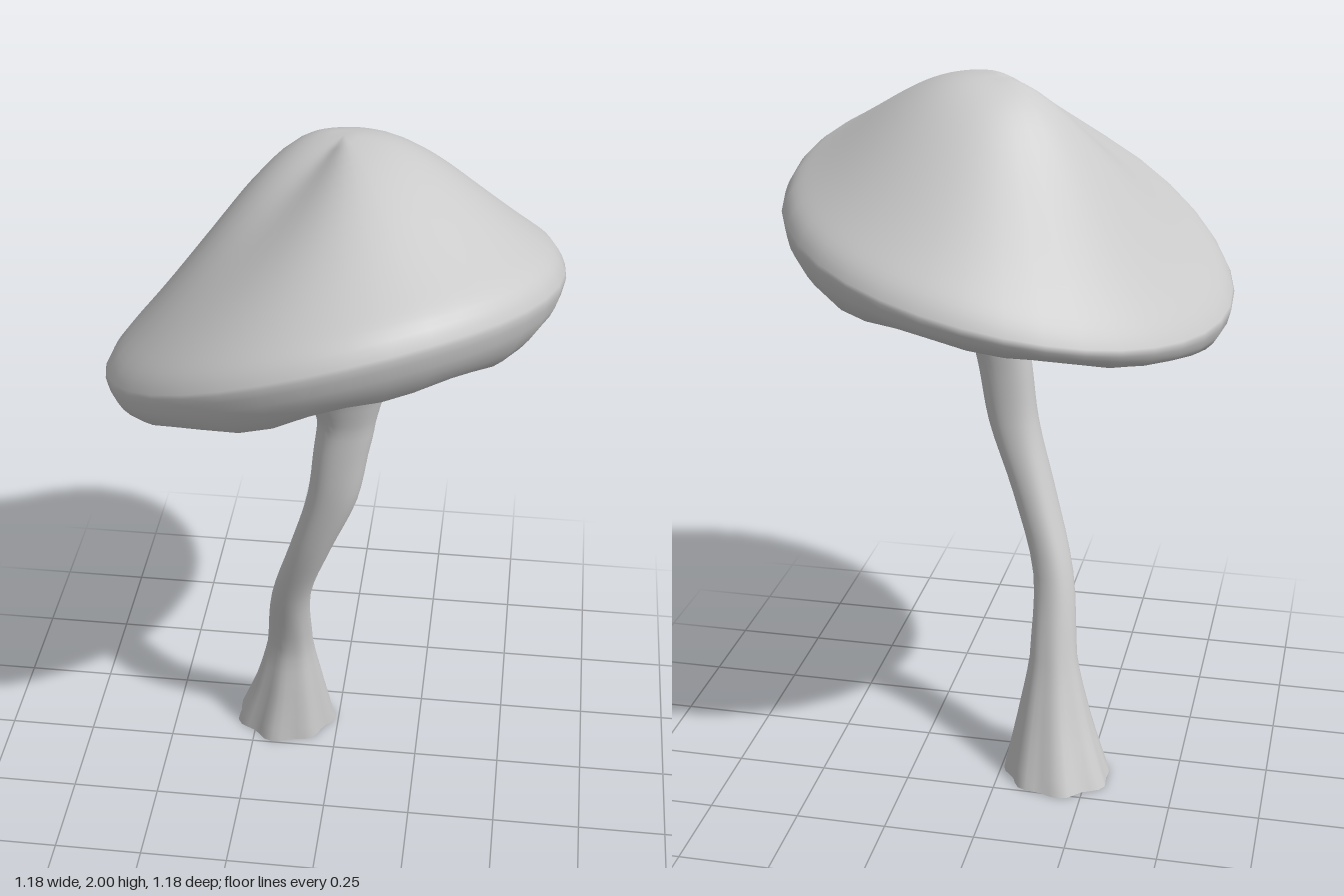
import * as THREE from 'three';
import { mergeVertices } from 'three/addons/utils/BufferGeometryUtils.js';

const SEGMENTS = 36;
const { lerp, smoothstep, degToRad } = THREE.MathUtils;
const material = new THREE.MeshStandardMaterial({ color: 0xcccccc, side: THREE.DoubleSide });

// A one-sided swell around the given direction in degrees
const toward = (a, degrees, power) => Math.max(0, Math.cos(a - degToRad(degrees))) ** power;

// Height of the tilted, slightly warped surface through the cap's rim
const rimHeight = (x, z) =>
  1.57 + 0.237 * x + 0.2 * z - 0.08 * (x * x - z * z) - 0.045 * Math.max(0, z - x) ** 2;

// Joins closed rings, listed from the bottom up, into one smooth skin
function loft(rows, pointAt) {
  const positions = [], index = [];
  for (let i = 0; i < rows; i++) {
    for (let j = 0; j < SEGMENTS; j++) {
      positions.push(...pointAt(i / (rows - 1), (j / SEGMENTS) * Math.PI * 2));
      if (i === rows - 1) continue;
      const k = (j + 1) % SEGMENTS;
      const a = i * SEGMENTS + j, b = i * SEGMENTS + k;
      index.push(a, a + SEGMENTS, b + SEGMENTS, a, b + SEGMENTS, b);
    }
  }
  let geometry = new THREE.BufferGeometry();
  geometry.setAttribute('position', new THREE.Float32BufferAttribute(positions, 3));
  geometry.setIndex(index);
  geometry = mergeVertices(geometry, 1e-5);
  geometry.computeVertexNormals();
  return geometry;
}

// Underside of the cap, from the middle to the rim: [radius, height below the rim]
const UNDERSIDE = new THREE.SplineCurve([
  [0.3, -0.035], [0.42, -0.06], [0.55, -0.095], [0.74, -0.135],
  [0.88, -0.125], [0.97, -0.065], [1.0, 0.0],
].map((p) => new THREE.Vector2(...p)));
const APEX = new THREE.Vector3(0.015, 1.995, -0.1);

const rimRadius = (a) => 0.59 - 0.016 * Math.sin(2 * a);

// Gills: thinner at the back, with uneven folds
function undersidePoint(t, a) {
  const p = UNDERSIDE.getPoint(t);
  const x = Math.cos(a) * rimRadius(a) * p.x, z = Math.sin(a) * rimRadius(a) * p.x;
  const depth = 1.03 - 0.5 * toward(a, 247, 2);
  const fold = smoothstep(p.x, 0.42, 0.7) * (1 - smoothstep(p.x, 0.8, 1));
  const ripple = 0.011 * Math.sin(9 * a + 0.6) + 0.008 * Math.sin(5 * a + 2);
  return [x, rimHeight(x, z) + p.y * depth + fold * ripple, z];
}

// Crown: a lopsided cone from the rim to a rounded apex, with a hollow on one flank
function crownPoint(t, a) {
  const u = t ** 1.6;
  const c = Math.cos(a), s = Math.sin(a);
  const x = c * rimRadius(a), z = s * rimRadius(a);
  const edge = (0.037 + 0.013 * c + 0.01 * s) * (1 - u) * (1 - Math.exp(-u / 0.03));
  const swell = 0.076 - 0.03 * c - 0.025 * s + 0.011 * Math.cos(2 * a);
  const hollow = 0.08 * toward(a, 145, 3);
  return [
    lerp(x, APEX.x, u),
    lerp(rimHeight(x, z), APEX.y, u) + edge + (swell - hollow) * Math.sin(Math.PI * u ** 1.6),
    lerp(z, APEX.z, u),
  ];
}

const makeCap = () => loft(41, (t, a) =>
  t < 0.4 ? undersidePoint(t / 0.4, a) : crownPoint((t - 0.4) / 0.6, a));

// Stem sections: [y, centre x, centre z, half width, half depth]
const SECTIONS = [
  [0.0, -0.165, -0.135, 0.145, 0.125],
  [0.17, -0.15, -0.11, 0.102, 0.085],
  [0.35, -0.14, -0.083, 0.066, 0.053],
  [0.58, -0.125, -0.018, 0.056, 0.053],
  [0.8, -0.06, 0.035, 0.06, 0.062],
  [1.0, 0.005, 0.063, 0.071, 0.062],
  [1.15, 0.028, 0.065, 0.076, 0.065],
  [1.25, 0.042, 0.06, 0.08, 0.071],
  [1.34, 0.037, 0.06, 0.108, 0.095],
  [1.41, 0.025, 0.058, 0.15, 0.135],
  [1.47, 0.012, 0.05, 0.22, 0.2],
  [1.53, 0.0, 0.04, 0.33, 0.31],
];

// Stem: a hollow bent tube, lobed at the foot, flaring into the tilted cap
function makeStem() {
  const centres = new THREE.CatmullRomCurve3(
    SECTIONS.map(([y, x, z]) => new THREE.Vector3(x, y, z)));
  const sizes = new THREE.CatmullRomCurve3(
    SECTIONS.map(([, , , w, d]) => new THREE.Vector3(w, d, 0)));

  return loft(45, (t, a) => {
    const c = centres.getPoint(t), s = sizes.getPoint(t);
    const foot = Math.max(0, 1 - c.y / 0.5);
    const lobe = 1 + 0.06 * foot * Math.cos(7 * a) + 0.025 * Math.cos(4 * a + 3 * c.y);
    const dx = Math.cos(a) * s.x * lobe, dz = Math.sin(a) * s.y * lobe;
    const tilt = smoothstep(c.y, 1.2, 1.5);
    return [c.x + dx, c.y + tilt * (0.237 * dx + 0.2 * dz), c.z + dz];
  });
}

export function createModel() {
  const model = new THREE.Group();
  model.name = 'mushroom';
  for (const [name, geometry] of [['cap', makeCap()], ['stem', makeStem()]]) {
    const mesh = new THREE.Mesh(geometry, material);
    mesh.name = name;
    model.add(mesh);
  }
  return model;
}
